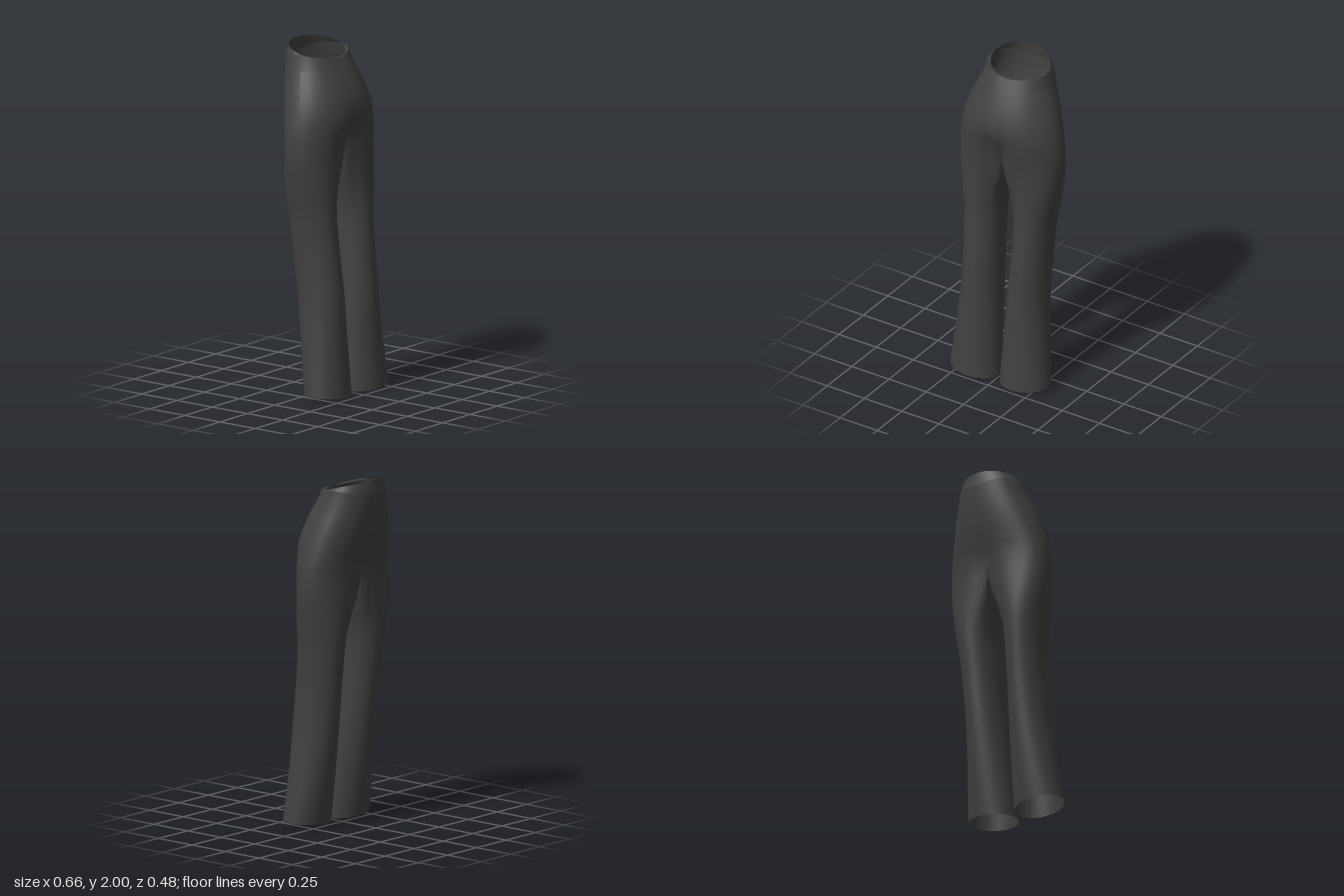
import * as THREE from 'three';
import { mergeVertices } from 'three/addons/utils/BufferGeometryUtils.js';

// Cross-sections from hem to waist: y, inner x, outer x, front z, back z, z of widest point
const ROWS = [
  [0, 0.012, 0.32, 0.243, 0.002, 0.115],
  [0.2, 0.02, 0.302, 0.226, -0.03, 0.1],
  [0.4, 0.031, 0.281, 0.212, -0.058, 0.08],
  [0.6, 0.041, 0.268, 0.203, -0.083, 0.06],
  [0.8, 0.05, 0.268, 0.18, -0.106, 0.035],
  [1.0, 0.053, 0.277, 0.16, -0.13, 0.015],
  [1.1, 0.05, 0.291, 0.158, -0.144, 0.005],
  [1.2, 0.042, 0.308, 0.16, -0.154, 0],
  [1.3, 0.028, 0.323, 0.165, -0.161, -0.01],
  [1.4, 0.01, 0.33, 0.174, -0.164, -0.015],
  [1.5, 0, 0.326, 0.188, -0.168, -0.02],
  [1.56, 0, 0.315, 0.197, -0.18, -0.025],
  [1.64, 0, 0.295, 0.2, -0.2, -0.03],
  [1.72, 0, 0.27, 0.176, -0.217, -0.045],
  [1.8, 0, 0.241, 0.142, -0.23, -0.06],
  [1.87, 0, 0.213, 0.103, -0.237, -0.075],
  [1.92, 0, 0.193, 0.07, -0.24, -0.085],
];
const CROTCH = 10;   // row where the legs join
const OUT = 28;      // steps round the outside of a half
const INN = 12;      // steps along the inside of a leg
const SPREAD = 0.85; // how far the outside wraps round the leg

const lerp = THREE.MathUtils.lerp;
const power = (v, e) => Math.sign(v) * Math.abs(v) ** e;

// Point on the half ring that makes up the seat, t = 0 at the front, PI at the back
function seatPoint([y, , xo, zf, zb, zc], t) {
  const c = power(Math.cos(t), 0.92);
  const x = xo * Math.abs(power(Math.sin(t), 0.92));
  const dip = Math.max(0, 1 - Math.max(0, y - 1.5) / 0.13) ** 2 * Math.exp(-((x / 0.08) ** 2));
  const depth = c > 0 ? (zf - zc) * (1 - 0.3 * dip) : (zc - zb) * (1 - 0.15 * dip);
  const lift = y > 1.9 ? 0.03 * Math.sin(t) : 0;
  return new THREE.Vector3(x < 1e-6 ? 0 : x, y + lift, zc + depth * c);
}

// Point on a leg ring, blended into the seat towards the crotch
function legPoint(row, j) {
  const [y, xi, xo, zf, zb, zc] = row;
  const outer = j <= OUT;
  const k = outer ? j / OUT : (j - OUT) / INN;
  const a = outer ? -SPREAD + (Math.PI + 2 * SPREAD) * k
    : Math.PI + SPREAD + (Math.PI - 2 * SPREAD) * k;
  const c = Math.cos(a);
  const x = (xi + xo) / 2 + (xo - xi) / 2 * Math.sin(a);
  const hem = y === 0 ? 0.025 * (x - xi) / (xo - xi) : 0;
  const p = new THREE.Vector3(x, y + hem, zc + c * (c > 0 ? zf - zc : zc - zb));
  const s = THREE.MathUtils.smoothstep(y, 1.05, 1.5);
  let target;
  if (outer) target = seatPoint(row, Math.PI * k);
  else {
    target = seatPoint(row, Math.PI).lerp(seatPoint(row, 0), k);
    target.x = 0;
    target.y -= 0.07 * Math.sin(Math.PI * k);
  }
  return p.lerp(target, s);
}

// Skin a list of equal-length rings; mirrored adds the opposite side
function skin(rings, mirrored, pos = [], index = []) {
  for (const side of mirrored ? [1, -1] : [1]) {
    const base = pos.length / 3, n = rings[0].length;
    for (const ring of rings) for (const p of ring) pos.push(p.x * side, p.y, p.z);
    for (let i = 0; i < rings.length - 1; i++) {
      for (let j = 0; j < n - 1; j++) {
        const a = base + i * n + j, b = a + 1, c = a + n, d = c + 1;
        if (side > 0) index.push(a, b, d, a, d, c);
        else index.push(a, d, b, a, c, d);
      }
    }
  }
  return { pos, index };
}

function toGeometry({ pos, index }) {
  let g = new THREE.BufferGeometry();
  g.setAttribute('position', new THREE.Float32BufferAttribute(pos, 3));
  g.setIndex(index);
  g = mergeVertices(g, 1e-4);
  g.computeVertexNormals();
  return g;
}

const range = (n, f) => Array.from({ length: n + 1 }, (_, i) => f(i));

export function createModel() {
  const cloth = new THREE.MeshStandardMaterial({ color: 0x404040, side: THREE.DoubleSide });
  cloth.name = 'charcoal cloth';
  const model = new THREE.Group();
  model.name = 'trousers';
  const add = (name, data) => {
    const mesh = new THREE.Mesh(toGeometry(data), cloth);
    mesh.name = name;
    model.add(mesh);
  };

  // Legs and seat, welded into one smooth surface
  const legs = ROWS.slice(0, CROTCH + 1).map(r => range(OUT + INN, j => legPoint(r, j)));
  const seat = ROWS.slice(CROTCH).map(r => range(OUT, j => seatPoint(r, Math.PI * j / OUT)));
  const body = skin(legs, true);
  add('legsAndSeat', skin(seat, true, body.pos, body.index));

  // Waistband, low at the front and rising to the back
  const waist = ROWS[ROWS.length - 1];
  const band = range(3, i => range(OUT, j => {
    const t = Math.PI * j / OUT;
    const p = seatPoint(waist, t);
    const z = -0.087 + 0.145 * Math.cos(t);
    const top = new THREE.Vector3(0.18 * Math.sin(t), lerp(2.0, 1.925, (z + 0.232) / 0.29), z);
    return p.lerp(top, i / 3);
  }));
  add('waistband', skin(band, true));

  // Slanted hip pockets, standing slightly open along the side seam
  const pocket = ROWS.slice(CROTCH, -1).map((r, i, all) => range(6, j => {
    const p = seatPoint(r, lerp(0.85, 1.4, j / 6));
    const open = 1 + 0.03 * (j / 6) * Math.sin(Math.PI * (i + 0.3) / all.length);
    return p.set(p.x * open, p.y, r[5] + (p.z - r[5]) * open);
  }));
  add('hipPockets', skin(pocket, true));

  return model;
}
